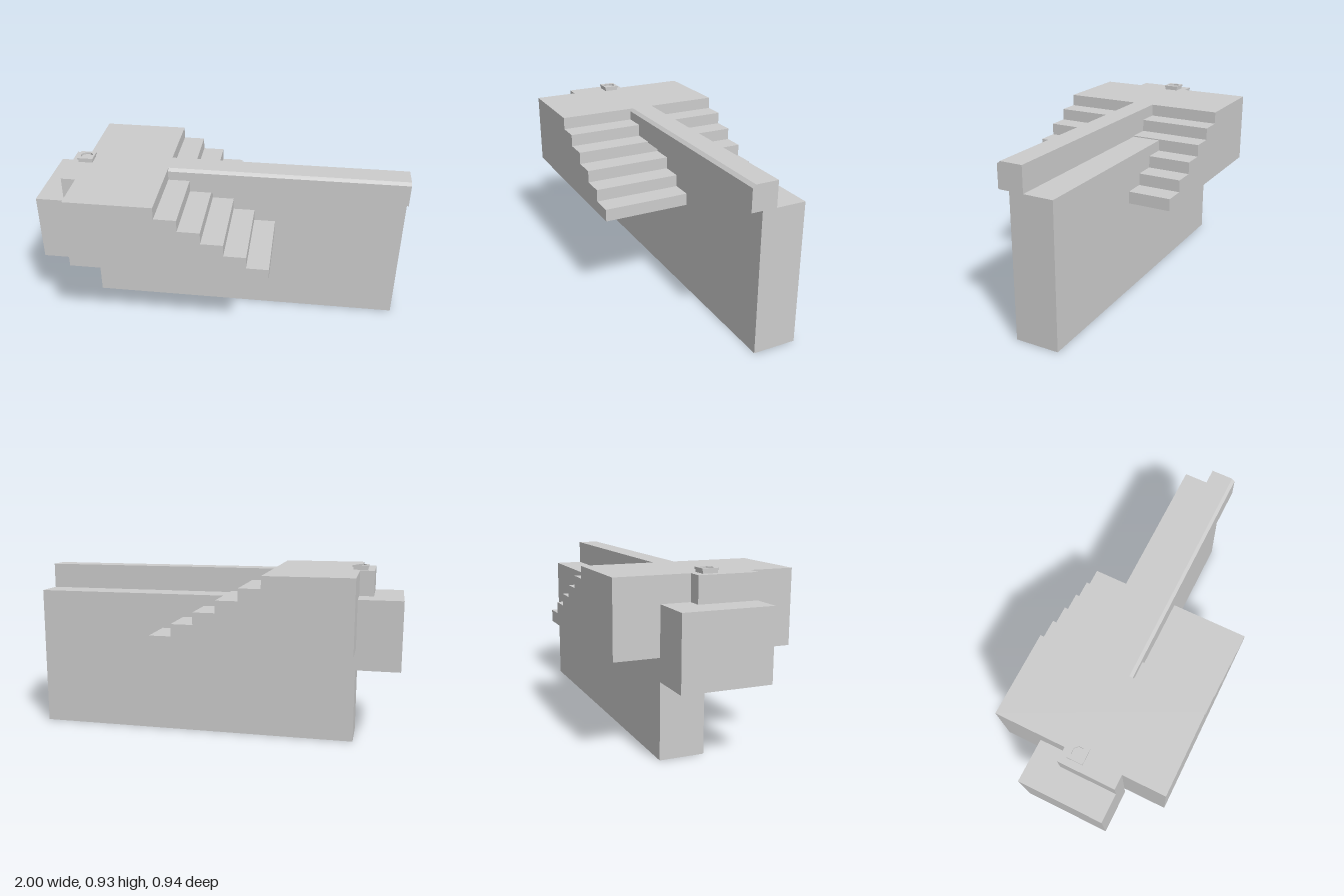
import * as THREE from 'three';

const material = new THREE.MeshStandardMaterial({ color: 0xcccccc, flatShading: true });

export function createModel() {
  const group = new THREE.Group();

  const add = (name, geometry) => {
    const mesh = new THREE.Mesh(geometry, material);
    mesh.name = name;
    group.add(mesh);
    return mesh;
  };

  // Box given by its limits along each axis
  const block = (name, [x0, x1], [y0, y1], [z0, z1]) =>
    add(name, new THREE.BoxGeometry(x1 - x0, y1 - y0, z1 - z0))
      .position.set((x0 + x1) / 2, (y0 + y1) / 2, (z0 + z1) / 2);

  const extrude = (points, depth, holes = []) => {
    const shape = new THREE.Shape(points.map(([x, y]) => new THREE.Vector2(x, y)));
    shape.holes.push(...holes);
    return new THREE.ExtrudeGeometry(shape, { depth, bevelEnabled: false });
  };

  // Main wall
  block('wall', [-0.765, 1], [0, 0.766], [-0.235, 0]);

  // Platform with a flight of steps descending on both sides of the wall
  const steps = 5, top = 0.902, run = 0.118, rise = 0.065;
  const profile = [[-0.765, 0.511], [-0.3 + steps * run, 0.511]];
  for (let i = steps; i >= 0; i--) {
    const x = -0.3 + i * run, y = top - i * rise;
    profile.push([x, y]);
    if (i > 0) profile.push([x - run, y]);
  }
  profile.push([-0.765, top]);
  add('platformAndSteps', extrude(profile, 0.94)).position.z = -0.47;

  // Parapet along the wall, chamfered on its front top edge
  const parapet = add('parapet', extrude(
    [[-0.06, 0.766], [0.077, 0.766], [0.077, top], [-0.043, top], [-0.06, 0.887]], 1.3));
  parapet.rotation.y = Math.PI / 2;
  parapet.position.x = -0.3;

  // Projecting end block and the ledge above it
  block('endBlock', [-1, -0.765], [0.393, 0.766], [-0.235, 0.235]);
  block('endLedge', [-0.843, -0.765], [0.766, top], [-0.08, 0.235]);

  // Small square fitting with an octagonal recess
  const fitting = new THREE.Group();
  fitting.name = 'fitting';
  fitting.position.set(-0.766, top, 0);
  group.add(fitting);
  const base = new THREE.Mesh(new THREE.BoxGeometry(0.078, 0.014, 0.078), material);
  base.name = 'fittingBase';
  base.position.y = 0.007;
  const hole = new THREE.Path();
  for (let i = 0; i < 8; i++) {
    const a = -(i + 0.5) * Math.PI / 4;
    hole[i ? 'lineTo' : 'moveTo'](0.034 * Math.cos(a), 0.034 * Math.sin(a));
  }
  hole.closePath();
  const h = 0.043;
  const rim = new THREE.Mesh(extrude([[-h, -h], [h, -h], [h, h], [-h, h]], 0.011, [hole]), material);
  rim.name = 'fittingRim';
  rim.rotation.x = -Math.PI / 2;
  rim.position.y = 0.014;
  fitting.add(base, rim);

  return group;
}
